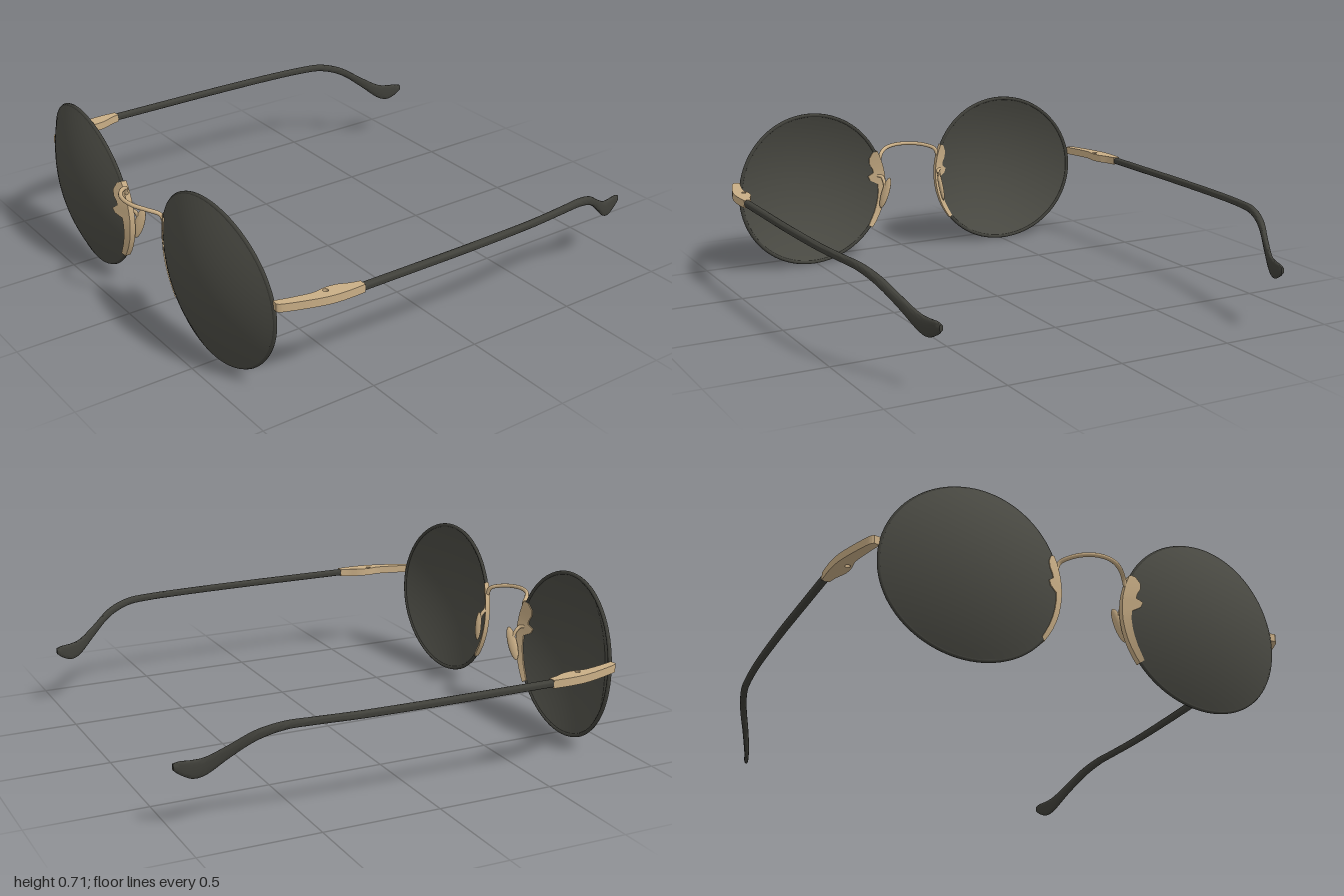
import * as THREE from 'three';
import { toCreasedNormals } from 'three/addons/utils/BufferGeometryUtils.js';

const { cos, sin, PI, sign, abs } = Math;
const V = (x, y, z) => new THREE.Vector3(x, y, z);

// Surface from a grid of points; faces look along du x dv
function grid(nu, nv, fn, crease = 0.7) {
  const pos = [], idx = [];
  for (let j = 0; j <= nv; j++)
    for (let i = 0; i <= nu; i++) pos.push(...fn(i, j).toArray());
  for (let j = 0; j < nv; j++)
    for (let i = 0; i < nu; i++) {
      const a = j * (nu + 1) + i, d = a + nu + 1;
      idx.push(a, a + 1, d + 1, a, d + 1, d);
    }
  const g = new THREE.BufferGeometry();
  g.setAttribute('position', new THREE.Float32BufferAttribute(pos, 3));
  g.setIndex(idx);
  return toCreasedNormals(g, crease);
}

// Mirror a geometry in x and restore its winding
function mirrored(geo) {
  const g = geo.index ? geo.toNonIndexed() : geo.clone();
  g.scale(-1, 1, 1);
  for (const a of Object.values(g.attributes)) {
    const n = a.itemSize, t = a.array;
    for (let i = 0; i < t.length; i += 3 * n)
      for (let k = 0; k < n; k++)
        [t[i + n + k], t[i + 2 * n + k]] = [t[i + 2 * n + k], t[i + n + k]];
  }
  return g;
}

// Point on the domed lens: r = 0 centre to 1 edge
function lensPoint(r, a, dz = 0) {
  const edge = -0.02 * r * cos(a) + 0.018 * r * sin(a) - 0.01 * r * r * cos(2 * a);
  return V(0.507 + 0.362 * r * cos(a), 0.36 + 0.349 * r * sin(a),
    0.89 + edge + 0.097 * (1 - r * r) + dz);
}

function lensGeometry() {
  const n = 14;
  return grid(2 * n + 1, 72, (i, j) => {
    const front = i <= n;
    return lensPoint((front ? i : 2 * n + 1 - i) / n, j / 72 * PI * 2, front ? 0.004 : -0.010);
  });
}

function rimGeometry() {
  const pts = [];
  for (let i = 0; i < 48; i++) pts.push(lensPoint(1, i / 48 * PI * 2, -0.004));
  return new THREE.TubeGeometry(new THREE.CatmullRomCurve3(pts, true), 96, 0.0085, 8, true);
}

// Metal clip wrapped round the inner lens edge: [angle in degrees, width]
function clipGeometry() {
  const s = [[155, 0.03], [159, 0.1], [164, 0.12], [169, 0.1], [172, 0.1], [175, 0.17],
    [179, 0.15], [182, 0.06], [188, 0.05], [194, 0.045], [200, 0.04], [206, 0.035], [212, 0.03], [217, 0.02]];
  const loop = [[0, 1], [1, 1], [1, -1], [0, -1], [0, 1]];
  return grid(4, s.length - 1, (i, j) => {
    const [out, side] = loop[i];
    return lensPoint(out ? 1.03 : 1 - s[j][1], s[j][0] * PI / 180, side > 0 ? 0.009 : -0.015);
  });
}

// Temple arm, swept through [x, y, z, half width, half height]
function armGeometry() {
  const s = [[0.952, 0.42, 0.54, 0.015, 0.015], [0.953, 0.42, 0.25, 0.015, 0.015],
    [0.953, 0.42, 0, 0.015, 0.015], [0.946, 0.42, -0.3, 0.014, 0.015],
    [0.93, 0.42, -0.5, 0.014, 0.015], [0.912, 0.414, -0.61, 0.015, 0.016],
    [0.88, 0.381, -0.71, 0.015, 0.019], [0.837, 0.318, -0.8, 0.013, 0.024],
    [0.803, 0.264, -0.875, 0.011, 0.034], [0.786, 0.25, -0.925, 0.010, 0.037],
    [0.774, 0.258, -0.97, 0.009, 0.027], [0.769, 0.265, -0.996, 0.007, 0.013]];
  const path = new THREE.CatmullRomCurve3(s.map(p => V(p[0], p[1], p[2])), false, 'catmullrom');
  const size = new THREE.CatmullRomCurve3(s.map(p => V(p[3], p[4], 0)), false, 'catmullrom');
  const n = 66, m = 20, soft = q => sign(q) * abs(q) ** 0.7;
  return grid(m, n + 2, (i, j) => {
    const t = THREE.MathUtils.clamp((j - 1) / n, 0, 1), a = i / m * PI * 2;
    const c = path.getPoint(t), h = size.getPoint(t), k = j === 0 || j === n + 2 ? 0 : 1;
    return V(c.x + k * h.x * soft(cos(a)), c.y - k * h.y * soft(sin(a)), c.z);
  }, 0.9);
}

// Flat hinge plate with a screw hole, drawn in x and -z
function hingeGeometry() {
  const sh = new THREE.Shape();
  const through = pts => sh.splineThru(pts.map(p => new THREE.Vector2(...p)));
  sh.moveTo(0.868, -0.862);
  sh.lineTo(0.893, -0.866);
  through([[0.91, -0.845], [0.945, -0.745], [0.964, -0.67], [0.97, -0.6], [0.968, -0.52]]);
  sh.lineTo(0.936, -0.52);
  through([[0.925, -0.56], [0.904, -0.61], [0.899, -0.66], [0.904, -0.71], [0.888, -0.79], [0.868, -0.862]]);
  const hole = new THREE.Path();
  hole.absarc(0.918, -0.665, 0.011, 0, PI * 2, true);
  sh.holes.push(hole);
  const g = new THREE.ExtrudeGeometry(sh, { depth: 0.034, bevelEnabled: false, curveSegments: 8 });
  g.rotateX(-PI / 2);
  g.translate(0, 0.403, 0);
  return toCreasedNormals(g, 0.6);
}

function padGeometry() {
  const g = new THREE.SphereGeometry(1, 20, 14);
  g.scale(0.011, 0.078, 0.021);
  g.rotateY(0.5);
  g.rotateX(-0.14);
  g.rotateZ(0.27);
  g.translate(0.149, 0.312, 0.851);
  return g;
}

const tube = (pts, r, seg = 20) =>
  new THREE.TubeGeometry(new THREE.CatmullRomCurve3(pts.map(p => V(...p))), seg, r, 10);

export function createModel() {
  const mat = (name, color) => new THREE.MeshStandardMaterial({ name, color, side: THREE.DoubleSide });
  const tinted = mat('smoky lens', 0x4b4b44);
  const dark = mat('charcoal frame', 0x40403a);
  const gold = mat('pale gold', 0xc9ae86);
  const model = new THREE.Group();
  model.name = 'sunglasses';

  const add = (name, geo, material) => {
    const m = new THREE.Mesh(geo, material);
    m.name = name;
    model.add(m);
  };
  const pair = (name, geo, material) => {
    add('left' + name, geo, material);
    add('right' + name, mirrored(geo), material);
  };

  // Lenses and rims
  pair('Lens', lensGeometry(), tinted);
  pair('Rim', rimGeometry(), dark);

  // Nose fittings
  pair('LensClip', clipGeometry(), gold);
  pair('NosePad', padGeometry(), gold);
  pair('PadArm', tube([[0.165, 0.39, 0.9], [0.15, 0.385, 0.885], [0.148, 0.37, 0.868], [0.147, 0.34, 0.853]], 0.008), gold);

  // Bridge
  const half = [[0.155, 0.462, 0.9], [0.143, 0.492, 0.908], [0.105, 0.508, 0.945], [0.055, 0.514, 0.976]];
  add('bridge', tube([...half, [0, 0.516, 0.986],
    ...half.map(([x, y, z]) => [-x, y, z]).reverse()], 0.009, 48), gold);

  // Hinges and temple arms
  pair('Hinge', hingeGeometry(), gold);
  pair('TempleArm', armGeometry(), dark);
  return model;
}
